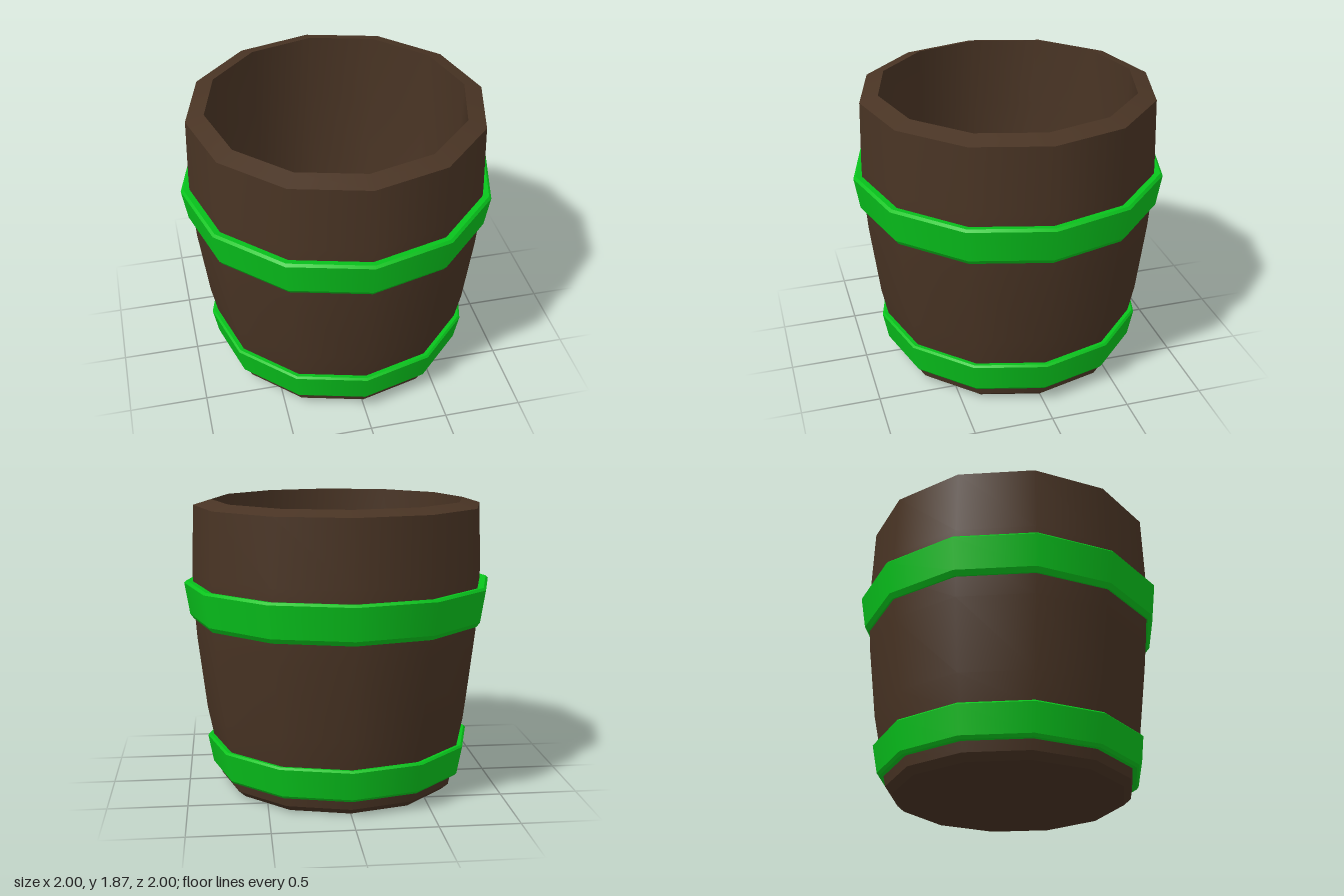
import * as THREE from 'three';
import { mergeGeometries } from 'three/addons/utils/BufferGeometryUtils.js';

const SIDES = 12;

// Twelve-sided turned part: each section is smooth, with a sharp edge between sections
function turned(name, sections, material) {
  const lathes = sections.map((section) =>
    new THREE.LatheGeometry(section.map(([r, y]) => new THREE.Vector2(r, y)), SIDES));
  const mesh = new THREE.Mesh(mergeGeometries(lathes), material);
  mesh.name = name;
  return mesh;
}

// Flared hoop from its outer corners, closed by a chamfer, a top and a hidden inner face
function hoop(name, [innerLow, low, lip, flare, top, innerTop], material) {
  return turned(name, [
    [innerLow, low], [low, lip], [lip, flare], [flare, top], [top, innerTop], [innerTop, innerLow],
  ], material);
}

export function createModel() {
  const group = new THREE.Group();
  group.name = 'barrel';
  const wood = new THREE.MeshStandardMaterial({ color: 0x493424 });
  const green = new THREE.MeshStandardMaterial({ color: 0x08c41c });

  group.add(turned('barrelBody', [
    // underside and chamfer
    [[0, 0], [0.735, 0]],
    [[0.735, 0], [0.782, 0.042]],
    // bulging outer wall
    [[0.782, 0.042], [0.797, 0.12], [0.83, 0.3], [0.87, 0.5], [0.925, 0.97],
      [0.945, 1.25], [0.944, 1.42], [0.93, 1.835]],
    // sloped rim
    [[0.93, 1.835], [0.815, 1.87]],
    // inner wall
    [[0.815, 1.87], [0.812, 1.42], [0.785, 0.97], [0.74, 0.5], [0.685, 0.12]],
    // floor
    [[0.685, 0.12], [0, 0.12]],
  ], wood));

  group.add(hoop('upperHoop',
    [[0.92, 1.1], [0.945, 1.1], [0.967, 1.13], [1, 1.335], [0.985, 1.35], [0.93, 1.342]], green));
  group.add(hoop('lowerHoop',
    [[0.78, 0.107], [0.822, 0.107], [0.838, 0.125], [0.872, 0.305], [0.86, 0.317], [0.81, 0.31]], green));

  return group;
}
